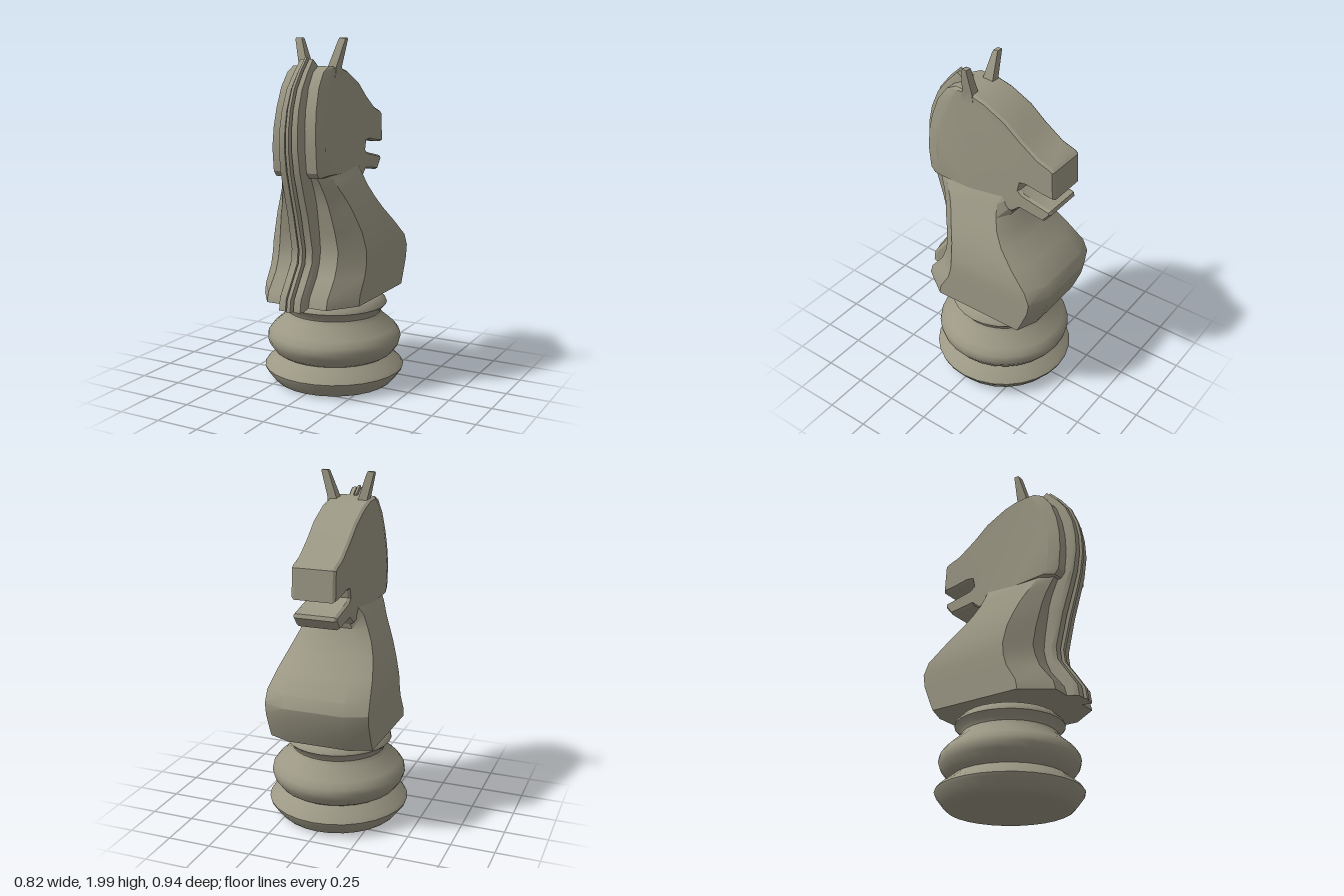
import * as THREE from 'three';
import { toCreasedNormals } from 'three/addons/utils/BufferGeometryUtils.js';

const material = new THREE.MeshStandardMaterial({ color: 0x9c9885 });
const { clamp } = THREE.MathUtils;

function part(name, geometry, crease = 0.5) {
  const mesh = new THREE.Mesh(toCreasedNormals(geometry, crease), material);
  mesh.name = name;
  return mesh;
}

// Skins a stack of closed rings of [x, y, z] and caps both ends.
function loft(rings) {
  const n = rings[0].length, last = rings.length - 1;
  const positions = rings.flat(2), index = [];
  for (let i = 0; i < last; i++) {
    for (let j = 0; j < n; j++) {
      const a = i * n + j, b = i * n + (j + 1) % n;
      index.push(a, b, b + n, a, b + n, a + n);
    }
  }
  for (const i of [0, last]) {
    const centre = positions.length / 3;
    for (let k = 0; k < 3; k++) positions.push(rings[i].reduce((s, p) => s + p[k], 0) / n);
    for (let j = 0; j < n; j++) {
      const a = i * n + j, b = i * n + (j + 1) % n;
      index.push(...(i ? [centre, a, b] : [centre, b, a]));
    }
  }
  const geometry = new THREE.BufferGeometry();
  geometry.setAttribute('position', new THREE.Float32BufferAttribute(positions, 3));
  geometry.setIndex(index);
  return geometry;
}

// Turned pedestal: flared foot, bulging ring, small collar
function pedestal() {
  const profile = [
    [0, 0.008], [0.31, 0.008], [0.345, 0.012], [0.362, 0.028], [0.405, 0.085], [0.41, 0.1], [0.395, 0.12],
    [0.335, 0.165], [0.325, 0.175], [0.35, 0.19], [0.383, 0.235], [0.393, 0.27], [0.387, 0.3], [0.36, 0.335],
    [0.285, 0.4], [0.272, 0.425], [0.28, 0.445], [0.31, 0.475], [0.305, 0.49], [0.27, 0.525], [0.22, 0.54], [0, 0.55],
  ].map(([r, y]) => new THREE.Vector2(r, y));
  const mesh = part('pedestal', new THREE.LatheGeometry(profile, 28), 0.8);
  mesh.position.z = -0.04;
  return mesh;
}

// Chest and neck: chamfered sections rising from the flat underside to the jaw
function body() {
  // y, half width, front z, back z, front flat, back flat, front chamfer, back chamfer
  const sections = [
    [0.545, 0.305, -0.39, 0.385, 0.18, 0.188, 0.05, 0.165],
    [0.6, 0.305, -0.415, 0.37, 0.18, 0.188, 0.05, 0.16],
    [0.7, 0.305, -0.455, 0.29, 0.18, 0.188, 0.05, 0.14],
    [0.77, 0.305, -0.47, 0.26, 0.18, 0.188, 0.055, 0.13],
    [0.84, 0.302, -0.445, 0.245, 0.18, 0.188, 0.06, 0.12],
    [0.94, 0.28, -0.34, 0.255, 0.17, 0.175, 0.06, 0.12],
    [1.03, 0.25, -0.245, 0.27, 0.155, 0.16, 0.055, 0.11],
    [1.1, 0.222, -0.19, 0.28, 0.135, 0.145, 0.05, 0.1],
    [1.17, 0.19, -0.155, 0.3, 0.115, 0.13, 0.045, 0.09],
    [1.24, 0.16, -0.175, 0.33, 0.09, 0.115, 0.08, 0.08],
    [1.3, 0.118, -0.19, 0.36, 0.075, 0.09, 0.08, 0.08],
  ];
  const rings = sections.map(([y, w, zf, zb, ff, fb, cf, cb]) => [
    [-fb, y, zb], [fb, y, zb], [w, y, zb - cb], [w, y, zf + cf],
    [ff, y, zf], [-ff, y, zf], [-w, y, zf + cf], [-w, y, zb - cb],
  ]);
  return part('body', loft(rings));
}

// Head with open mouth: side outline given as [z, y]
function head() {
  const outline = [
    [0.36, 1.26], [0.385, 1.29], [0.397, 1.42], [0.39, 1.53], [0.37, 1.63], [0.33, 1.74], [0.27, 1.82],
    [0.21, 1.85], [0.1, 1.845], [0.01, 1.82], [-0.12, 1.755], [-0.22, 1.675], [-0.33, 1.6],
    [-0.41, 1.572], [-0.43, 1.555], [-0.44, 1.385], [-0.38, 1.388], [-0.26, 1.41], [-0.225, 1.405], [-0.215, 1.36],
    [-0.24, 1.34], [-0.415, 1.302], [-0.422, 1.28], [-0.375, 1.222], [-0.22, 1.243], [-0.17, 1.2],
    [-0.08, 1.22], [0.1, 1.25],
  ].map(p => new THREE.Vector2(...p));
  const bevel = 0.015, half = 0.125;
  const geometry = new THREE.ExtrudeGeometry(new THREE.Shape(outline), {
    depth: 2 * (half - bevel), bevelThickness: bevel, bevelSize: 0.01, bevelOffset: -0.01, bevelSegments: 1,
  });
  geometry.translate(0, 0, bevel - half).rotateY(-Math.PI / 2);

  // Widen the cheeks and draw the side faces forward for a wide chamfer at the nape
  const p = geometry.attributes.position;
  for (let i = 0; i < p.count; i++) {
    const x = p.getX(i), y = p.getY(i), z = p.getZ(i);
    const low = clamp((1.84 - y) / 0.4, 0, 1), rear = clamp((z + 0.2) / 0.4, 0, 1);
    p.setX(i, x * (1 + 0.22 * low * rear));
    if (Math.abs(x) > half - 0.005) p.setZ(i, z - 0.06 * clamp((z - 0.15) / 0.15, 0, 1));
  }
  return part('head', geometry);
}

// Mane: a grooved section swept up the nape, proud rib along the middle
function mane() {
  // outer z, outer y, inner z, inner y, half width
  const path = [
    [0.47, 0.53, 0.38, 0.545, 0.078], [0.46, 0.6, 0.37, 0.6, 0.078], [0.4, 0.69, 0.29, 0.7, 0.078],
    [0.34, 0.775, 0.25, 0.78, 0.078], [0.33, 0.85, 0.245, 0.85, 0.077], [0.38, 1.05, 0.27, 1.05, 0.075],
    [0.42, 1.18, 0.31, 1.17, 0.072], [0.452, 1.3, 0.36, 1.27, 0.07], [0.47, 1.42, 0.385, 1.42, 0.068],
    [0.465, 1.53, 0.38, 1.52, 0.064], [0.445, 1.63, 0.365, 1.6, 0.06], [0.4, 1.74, 0.32, 1.7, 0.055],
    [0.33, 1.83, 0.27, 1.76, 0.05], [0.26, 1.9, 0.22, 1.82, 0.046], [0.195, 1.858, 0.19, 1.8, 0.042],
  ];
  const side = [[1, -0.3], [1, 0.6], [0.85, 0.84], [0.32, 0.87], [0.24, 0.7], [0.14, 1]];
  const section = [...side.map(([x, d]) => [-x, d]), ...side.slice().reverse()];
  const rings = path.map(([zo, yo, zi, yi, w]) =>
    section.map(([x, d]) => [x * w, yi + (yo - yi) * d, zi + (zo - zi) * d]));
  return part('mane', loft(rings));
}

// Narrow four-sided ear leaning outward
function ear(side) {
  const square = (cx, y, cz, w, d) =>
    [[-w, d], [w, d], [w, -d], [-w, -d]].map(([x, z]) => [side * cx + x, y, cz + z]);
  const rings = [
    square(0.082, 1.79, 0.125, 0.035, 0.042),
    square(0.092, 1.85, 0.122, 0.026, 0.032),
    square(0.134, 1.99, 0.11, 0.021, 0.016),
    square(0.136, 2.0, 0.108, 0.018, 0.013),
  ];
  return part(side > 0 ? 'leftEar' : 'rightEar', loft(rings), 0.4);
}

export function createModel() {
  const model = new THREE.Group();
  model.name = 'chessKnight';
  const bust = new THREE.Group();
  bust.name = 'bust';
  bust.position.x = -0.01;
  bust.add(body(), head(), mane());
  model.add(pedestal(), bust, ear(1), ear(-1));
  return model;
}
